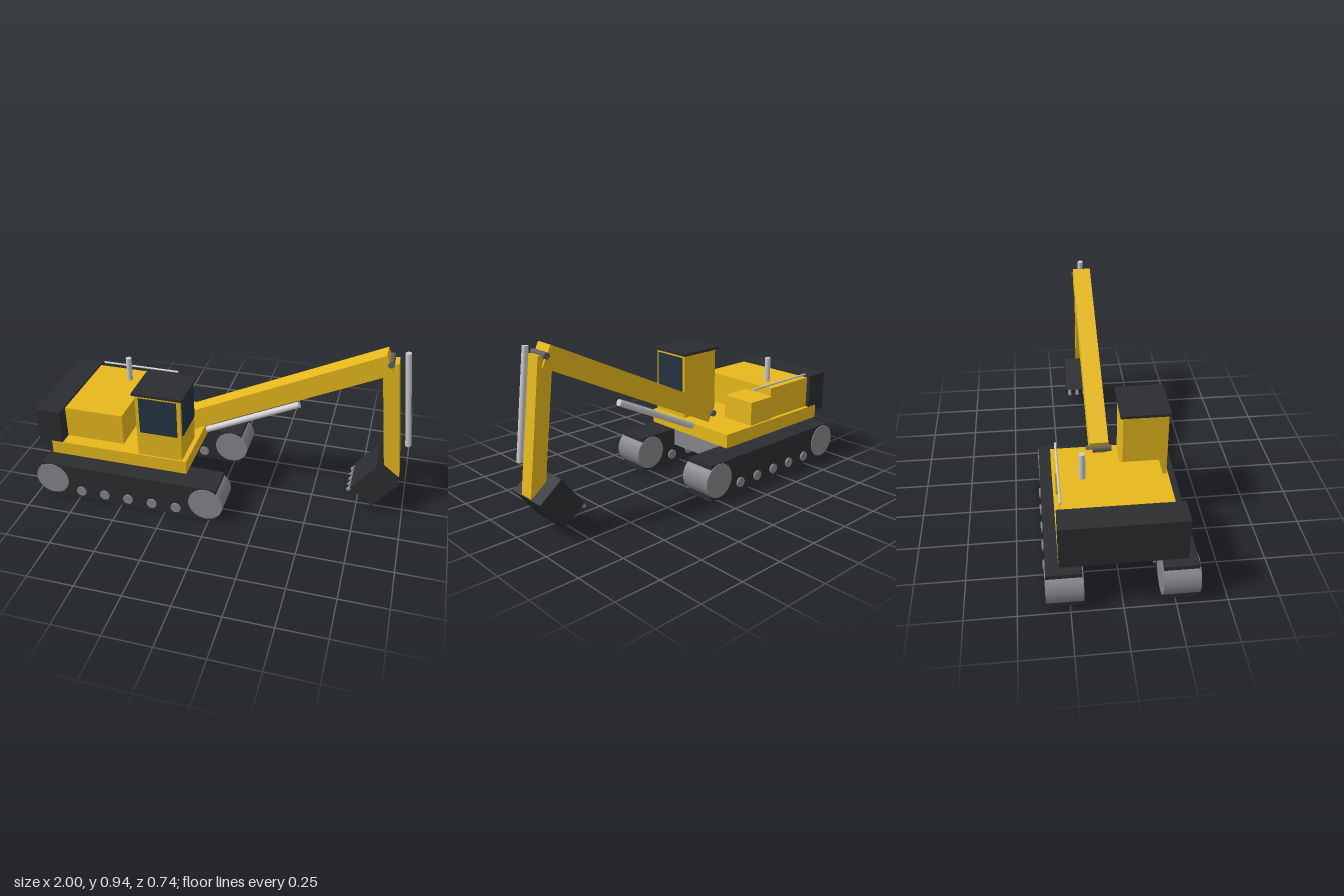
import * as THREE from 'three';

const mat = (color) => new THREE.MeshStandardMaterial({ color });

export function createModel() {
  const model = new THREE.Group();
  const yellow = mat(0xe6b81c), dark = mat(0x2b2d30), glass = mat(0x243442);
  const steel = mat(0x84868a), pinGrey = mat(0x5c5e62), light = mat(0xcccccc);

  const add = (name, geometry, material, parent = model) => {
    const mesh = new THREE.Mesh(geometry, material);
    mesh.name = name;
    parent.add(mesh);
    return mesh;
  };
  // Box given by its extents along each axis
  const box = (name, [x0, x1], [y0, y1], [z0, z1], material, parent) => {
    const mesh = add(name, new THREE.BoxGeometry(x1 - x0, y1 - y0, z1 - z0), material, parent);
    mesh.position.set((x0 + x1) / 2, (y0 + y1) / 2, (z0 + z1) / 2);
    return mesh;
  };
  // Round rod between two points
  const rod = (name, from, to, radius, material, parent, sides = 20) => {
    const a = new THREE.Vector3(...from), b = new THREE.Vector3(...to);
    const dir = b.clone().sub(a);
    const mesh = add(name, new THREE.CylinderGeometry(radius, radius, dir.length(), sides), material, parent);
    mesh.position.copy(a).add(b).multiplyScalar(0.5);
    mesh.quaternion.setFromUnitVectors(new THREE.Vector3(0, 1, 0), dir.normalize());
    return mesh;
  };
  // Square-section beam between two points in the side plane
  const beam = (name, [ax, ay], [bx, by], thick, width, z) => {
    const mesh = add(name, new THREE.BoxGeometry(Math.hypot(bx - ax, by - ay), thick, width), yellow);
    mesh.position.set((ax + bx) / 2, (ay + by) / 2, z);
    mesh.rotation.z = Math.atan2(by - ay, bx - ax);
    return mesh;
  };

  // Crawler tracks with end wheels and small rollers
  for (const side of [1, -1]) {
    const track = new THREE.Group();
    track.name = side > 0 ? 'frontSideTrack' : 'backSideTrack';
    track.position.z = side * 0.275;
    model.add(track);
    box('trackBelt', [-0.96, 0.04], [0, 0.205], [-0.086, 0.086], dark, track);
    for (const x of [-0.905, -0.018])
      rod('endWheel', [x, 0.106, -0.09], [x, 0.106, 0.09], 0.095, steel, track, 32);
    for (let i = 0; i < 5; i++) {
      const x = -0.735 + i * 0.1375;
      rod('roller', [x, 0.05, -0.096], [x, 0.05, 0.096], 0.028, steel, track);
    }
  }

  // Undercarriage and turntable
  box('undercarriage', [-0.71, -0.21], [0.105, 0.222], [-0.19, 0.19], steel);
  rod('turntable', [-0.46, 0.215, 0], [-0.46, 0.24, 0], 0.193, steel, model, 32);

  // Upper body
  box('platform', [-0.915, -0.14], [0.238, 0.315], [-0.298, 0.298], yellow);
  box('counterweight', [-0.985, -0.85], [0.28, 0.505], [-0.297, 0.297], dark);
  box('engineHousing', [-0.85, -0.52], [0.315, 0.493], [-0.275, 0.225], yellow);
  box('sideHousing', [-0.52, -0.345], [0.315, 0.448], [-0.286, -0.087], yellow);
  rod('exhaust', [-0.62, 0.49, -0.16], [-0.62, 0.633, -0.16], 0.016, light);
  rod('handrail', [-0.825, 0.517, -0.275], [-0.365, 0.517, -0.275], 0.006, light);

  // Cab
  box('cab', [-0.41, -0.165], [0.315, 0.68], [0.06, 0.289], yellow);
  box('cabRoof', [-0.425, -0.15], [0.68, 0.695], [0.046, 0.297], dark);
  box('sideWindow', [-0.39, -0.185], [0.46, 0.667], [0.285, 0.294], glass);
  box('windshield', [-0.17, -0.158], [0.46, 0.665], [0.076, 0.27], glass);

  // Boom, stick, pivots and hydraulic cylinders
  const armZ = -0.044;
  beam('boom', [-0.23, 0.37], [0.84, 0.885], 0.11, 0.1, armZ);
  beam('stick', [0.84, 0.885], [0.92, 0.21], 0.08, 0.08, armZ);
  rod('boomPin', [-0.232, 0.37, armZ - 0.067], [-0.232, 0.37, armZ + 0.067], 0.018, pinGrey);
  rod('stickPin', [0.842, 0.887, armZ - 0.057], [0.842, 0.887, armZ + 0.057], 0.016, pinGrey);
  rod('boomCylinder', [-0.122, 0.308, armZ], [0.393, 0.556, armZ], 0.018, light);
  rod('stickCylinder', [0.916, 0.938, armZ], [0.982, 0.398, armZ], 0.0155, light);

  // Bucket with a row of teeth
  const bucket = new THREE.Group();
  bucket.name = 'bucket';
  bucket.position.set(0.836, 0.177, -0.046);
  bucket.rotation.z = THREE.MathUtils.degToRad(-38);
  model.add(bucket);
  add('bucketBody', new THREE.BoxGeometry(0.157, 0.204, 0.23), dark, bucket);
  for (let i = -2; i <= 2; i++)
    rod('tooth', [-0.067, -0.085, i * 0.047], [-0.07, -0.134, i * 0.047], 0.011, steel, bucket, 12);

  return model;
}
